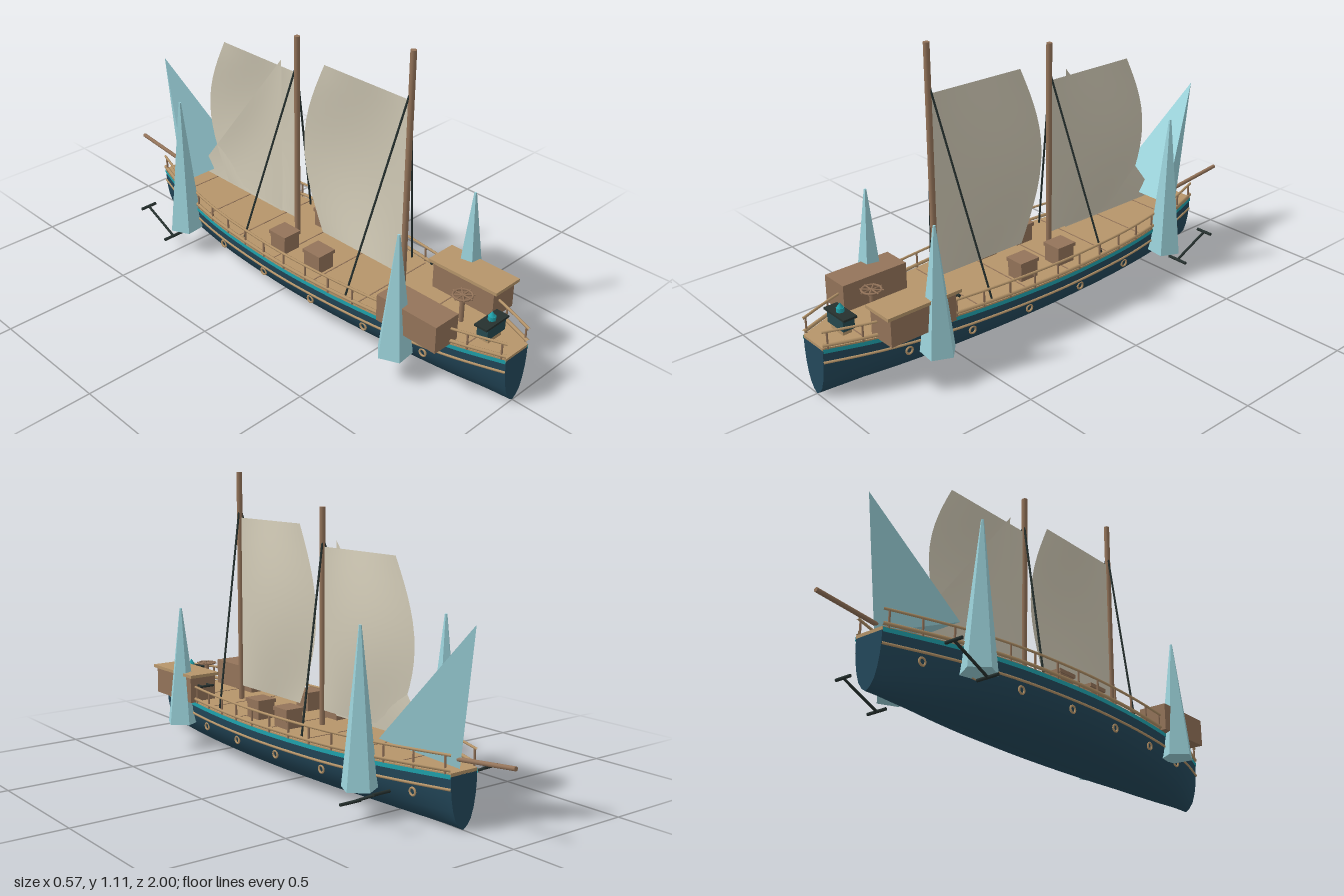
import * as THREE from 'three';

const mat = (name, color, side = THREE.FrontSide) => {
  const m = new THREE.MeshStandardMaterial({ color, side });
  m.name = name;
  return m;
};

export function createModel() {
  const model = new THREE.Group();
  model.name = 'sailingShip';
  const hullBlue = mat('hullBlue', 0x24495c);
  const trim = mat('turquoise', 0x1fa3ad, THREE.DoubleSide);
  const tan = mat('tanWood', 0xb6956a);
  const brown = mat('brownWood', 0x94745a);
  const dark = mat('darkIron', 0x26312f);
  const panel = mat('consoleTeal', 0x26494f);
  const cloth = mat('sailCloth', 0xd0c9b5, THREE.DoubleSide);
  const crystal = mat('crystal', 0x9bd2da);
  crystal.flatShading = true;

  const add = (name, geo, material, x = 0, y = 0, z = 0) => {
    const mesh = new THREE.Mesh(geo, material);
    mesh.name = name;
    mesh.position.set(x, y, z);
    model.add(mesh);
    return mesh;
  };
  const box = (name, m, w, h, d, x, y, z) => add(name, new THREE.BoxGeometry(w, h, d), m, x, y, z);
  const V = (x, y, z) => new THREE.Vector3(x, y, z);
  const rod = (name, m, a, b, r, sides = 8) => {
    const mesh = add(name, new THREE.CylinderGeometry(r, r, a.distanceTo(b), sides), m);
    mesh.position.copy(a).lerp(b, 0.5);
    mesh.quaternion.setFromUnitVectors(V(0, 1, 0), b.clone().sub(a).normalize());
    return mesh;
  };

  // Half-width of the hull along its length, as (z, width)
  const stations = new THREE.SplineCurve([
    [-0.78, 0.058], [-0.6, 0.118], [-0.45, 0.158], [-0.25, 0.192], [0, 0.21], [0.2, 0.21],
    [0.42, 0.195], [0.62, 0.168], [0.82, 0.122], [1, 0.058],
  ].map(([z, w]) => new THREE.Vector2(z, w))).getPoints(45);
  const widthAt = (z) => {
    const i = Math.max(1, stations.findIndex((p) => p.x >= z));
    const a = stations[i - 1], b = stations[i];
    return a.y + (b.y - a.y) * (z - a.x) / (b.x - a.x);
  };

  // Sweeps a cross-section of (width fraction, y) along the stations
  const loft = (profile, extra = 0) => {
    const pos = [], index = [], n = profile.length;
    stations.forEach((s, i) => {
      profile.forEach(([f, y], j) => {
        pos.push(f * (s.y + extra), y, s.x);
        if (i && j) {
          const d = i * n + j, c = d - 1, b = d - n, a = b - 1;
          index.push(a, c, b, b, c, d);
        }
      });
    });
    const g = new THREE.BufferGeometry();
    g.setAttribute('position', new THREE.Float32BufferAttribute(pos, 3));
    g.setIndex(index);
    g.computeVertexNormals();
    return g;
  };

  // Hull with flat ends
  const half = [[1, 0.19], [0.98, 0.15], [0.92, 0.112], [0.78, 0.07], [0.58, 0.036], [0.3, 0.014]];
  const section = [...half, [0, 0.002], ...half.map(([f, y]) => [-f, y]).reverse()];
  add('hull', loft(section), hullBlue);
  const cap = new THREE.ShapeGeometry(new THREE.Shape(
    section.map(([f, y]) => new THREE.Vector2(f * 0.058, y))));
  add('frontEnd', cap, hullBlue, 0, 0, 1);
  add('rearEnd', cap, hullBlue, 0, 0, -0.78).rotation.y = Math.PI;

  // Deck and plank seams
  const outline = [
    ...stations.map((s) => new THREE.Vector2(s.y, -s.x)),
    ...stations.map((s) => new THREE.Vector2(-s.y, -s.x)).reverse(),
  ];
  const deckGeo = new THREE.ExtrudeGeometry(new THREE.Shape(outline), { depth: 0.012, bevelEnabled: false });
  add('deck', deckGeo.rotateX(-Math.PI / 2), tan, 0, 0.188, 0);
  for (let z = -0.575; z < 0.9; z += 0.205) {
    box('plankSeam', brown, widthAt(z) * 1.9, 0.002, 0.004, 0, 0.2005, z);
  }

  for (const s of [1, -1]) {
    // Trim band, wale and rails following the hull
    add('trimBand', loft([[s, 0.196], [s, 0.181]], 0.003), trim);
    const follow = (name, f, y, r) => add(name, new THREE.TubeGeometry(
      new THREE.CatmullRomCurve3(stations.map((p) => V(s * p.y * f, y, p.x))), 60, r, 6), tan);
    follow('wale', 0.98, 0.145, 0.005);
    follow('lowerRail', 1, 0.21, 0.007);
    follow('upperRail', 1, 0.259, 0.005);
    for (let z = -0.76; z < 1; z += 0.109) {
      const x = s * widthAt(z);
      rod('railPost', brown, V(x, 0.195, z), V(x, 0.259, z), 0.004, 6);
    }
    // Porthole rings
    for (const z of [-0.645, -0.46, -0.265, -0.015, 0.235, 0.48, 0.72]) {
      const ring = add('porthole', new THREE.TorusGeometry(0.013, 0.004, 6, 14), tan,
        s * (widthAt(z) * 0.93 + 0.002), 0.115, z);
      ring.rotation.y = Math.PI / 2;
    }
    // Deck crates with lids
    for (const z of [0.015, 0.195]) {
      box('crate', brown, 0.072, 0.06, 0.076, s * 0.115, 0.23, z);
      box('crateLid', brown, 0.08, 0.014, 0.086, s * 0.115, 0.267, z);
    }
    // Tall five-sided crystals on the sides
    for (const [z, top, x] of [[0.64, 0.57, 0.195], [-0.485, 0.65, 0.19]]) {
      const h = top - 0.103;
      add('crystalSpire', new THREE.CylinderGeometry(0.005, 0.065, h, 5), crystal,
        s * x, 0.103 + h / 2, z).rotation.y = s * (Math.PI / 2 + 0.2);
    }
    // Anchors
    const x = s * 0.243;
    rod('anchorShank', dark, V(x, 0.07, -0.505), V(x, 0.142, -0.66), 0.005);
    rod('anchorArm', dark, V(x - 0.043, 0.07, -0.505), V(x + 0.043, 0.07, -0.505), 0.006);
    rod('anchorStock', dark, V(x - 0.034, 0.142, -0.66), V(x + 0.034, 0.142, -0.66), 0.006);
    // Shrouds
    rod('shroud', dark, V(0, 0.98, 0.5), V(s * 0.175, 0.2, 0.39), 0.004, 6);
    rod('shroud', dark, V(0, 0.89, -0.04), V(s * 0.175, 0.2, -0.145), 0.004, 6);
  }

  // Masts and bowsprit
  rod('mainMast', brown, V(0, 0.19, 0.5), V(0, 1.11, 0.5), 0.011, 12);
  rod('secondMast', brown, V(0, 0.19, -0.037), V(0, 1.0, -0.037), 0.011, 12);
  rod('bowsprit', brown, V(0, 0.225, -0.7), V(0, 0.257, -1), 0.008, 10);

  // A bulging sheet: place(u, v) gives each point
  const sheet = (name, place) => {
    const g = new THREE.PlaneGeometry(1, 1, 12, 14), p = g.attributes.position;
    for (let i = 0; i < p.count; i++) {
      const q = place(p.getX(i) + 0.5, p.getY(i) + 0.5);
      p.setXYZ(i, q.x, q.y, q.z);
    }
    g.computeVertexNormals();
    add(name, g, cloth);
  };
  const bulge = (u, v, d) => d * Math.sin(Math.PI * u) * Math.sin(Math.PI * v);
  for (const [z0, top] of [[0.488, 0.932], [-0.049, 0.858]]) {
    sheet('squareSail', (u, v) => V(bulge(u, v, 0.032), 0.255 + v * (top - 0.255),
      z0 - u * (0.388 + 0.1 * Math.sin(Math.PI * v))));
  }
  sheet('staysail', (u, v) => V(bulge(u, v, 0.018) * (1 - v), 0.25 + v * 0.635,
    -0.12 - u * 0.5 * (1 - v)));

  // Faceted pointed sail at the rear, a leaning tetrahedron
  const L = [-0.145, 0.275, -0.53], R = [0.145, 0.275, -0.53], A = [0, 0.675, -0.82], B = [0, 0.2, -0.76];
  const tet = new THREE.BufferGeometry();
  tet.setAttribute('position', new THREE.Float32BufferAttribute(
    [L, R, A, R, B, A, B, L, A, L, B, R].flat(), 3));
  tet.computeVertexNormals();
  add('pointedSail', tet, crystal);

  // Cabins beside the helm
  box('rightCabin', brown, 0.112, 0.103, 0.26, -0.145, 0.249, 0.69);
  box('leftCabin', brown, 0.113, 0.104, 0.265, 0.143, 0.248, 0.697);
  box('leftCabinRoof', tan, 0.128, 0.012, 0.298, 0.144, 0.305, 0.695);
  rod('cabinBar', dark, V(0.115, 0.265, 0.53), V(0.175, 0.265, 0.53), 0.005);
  for (const x of [0.125, 0.165]) rod('barBracket', dark, V(x, 0.265, 0.53), V(x, 0.265, 0.57), 0.004);

  // Horizontal steering wheel on a post
  rod('wheelPost', brown, V(0, 0.2, 0.765), V(0, 0.305, 0.765), 0.009);
  const rim = add('wheelRim', new THREE.TorusGeometry(0.034, 0.004, 6, 20), brown, 0, 0.305, 0.765);
  rim.rotation.x = Math.PI / 2;
  for (let i = 0; i < 4; i++) {
    const a = i * Math.PI / 4, c = 0.042 * Math.cos(a), d = 0.042 * Math.sin(a);
    rod('wheelSpoke', brown, V(-c, 0.305, 0.765 - d), V(c, 0.305, 0.765 + d), 0.003, 6);
  }

  // Console with a glowing gem
  box('consoleFoot', tan, 0.07, 0.02, 0.035, 0, 0.21, 0.89);
  box('console', panel, 0.095, 0.045, 0.045, 0, 0.242, 0.89);
  box('consoleTop', dark, 0.12, 0.008, 0.052, 0, 0.266, 0.89);
  add('gemBase', new THREE.CylinderGeometry(0.014, 0.014, 0.02, 8), trim, 0, 0.275, 0.89);
  add('gem', new THREE.ConeGeometry(0.014, 0.02, 8), trim, 0, 0.293, 0.89);

  return model;
}
